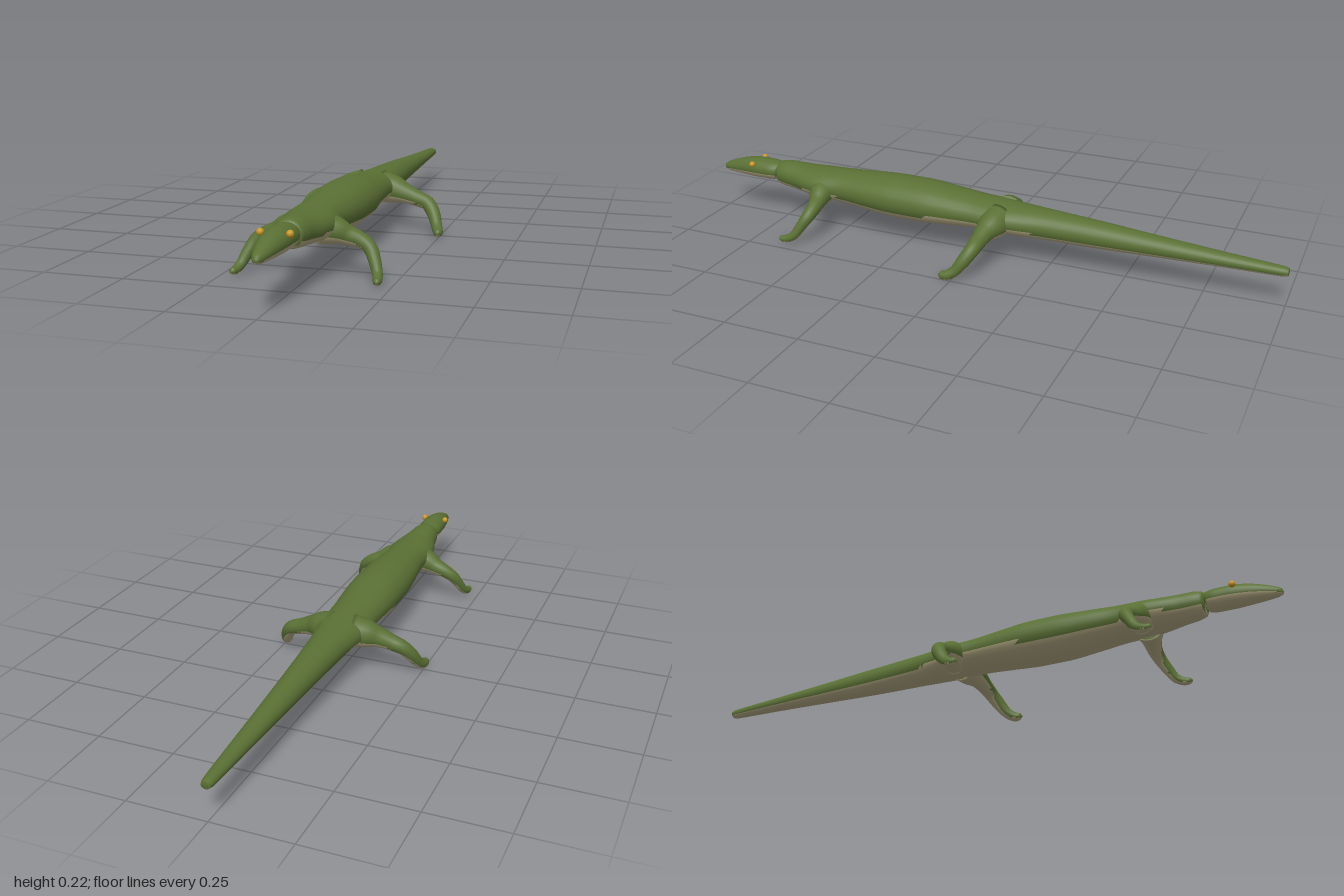
import * as THREE from 'three';

const material = (name, color) => {
  const m = new THREE.MeshStandardMaterial({ color });
  m.name = name;
  return m;
};

// Skin around a spine. Each row is [x, y, z, halfWidth, halfHeight].
// Faces that point downwards use the second material.
function skin(name, rows, steps, sides, materials, belly = -0.42) {
  const spine = new THREE.CatmullRomCurve3(rows.map(r => new THREE.Vector3(r[0], r[1], r[2])));
  const size = new THREE.CatmullRomCurve3(rows.map(r => new THREE.Vector3(r[3], r[4] ?? r[3], 0)));
  const pos = [], faces = [];
  const yAxis = new THREE.Vector3(0, 1, 0);
  for (let i = 0; i <= steps; i++) {
    const t = i / steps;
    const c = spine.getPoint(t), s = size.getPoint(t), dir = spine.getTangent(t);
    const side = yAxis.clone().cross(dir).normalize();
    const up = dir.clone().cross(side);
    for (let j = 0; j < sides; j++) {
      const a = (j / sides) * Math.PI * 2;
      const p = c.clone().addScaledVector(side, Math.cos(a) * s.x).addScaledVector(up, Math.sin(a) * s.y);
      pos.push(p.x, p.y, p.z);
    }
  }
  const at = (i, j) => i * sides + (j % sides);
  const first = pos.length / 3;
  for (const t of [0, 1]) pos.push(...spine.getPoint(t).toArray());
  for (let j = 0; j < sides; j++) {
    for (let i = 0; i < steps; i++) {
      faces.push([at(i, j), at(i, j + 1), at(i + 1, j)], [at(i, j + 1), at(i + 1, j + 1), at(i + 1, j)]);
    }
    faces.push([first, at(0, j + 1), at(0, j)], [first + 1, at(steps, j), at(steps, j + 1)]);
  }

  // Sort faces into back and belly
  const vert = k => new THREE.Vector3().fromArray(pos, k * 3);
  const normal = new THREE.Vector3();
  const isBelly = f => {
    new THREE.Triangle(vert(f[0]), vert(f[1]), vert(f[2])).getNormal(normal);
    return normal.y < belly;
  };
  const parts = [[], []];
  faces.forEach(f => parts[isBelly(f) ? 1 : 0].push(...f));
  const geo = new THREE.BufferGeometry();
  geo.setAttribute('position', new THREE.Float32BufferAttribute(pos, 3));
  geo.setIndex([...parts[0], ...parts[1]]);
  geo.addGroup(0, parts[0].length, 0);
  geo.addGroup(parts[0].length, parts[1].length, 1);
  geo.computeVertexNormals();
  const mesh = new THREE.Mesh(geo, materials);
  mesh.name = name;
  return mesh;
}

export function createModel() {
  const model = new THREE.Group();
  model.name = 'lizard';
  const green = material('olive skin', 0x5a7034);
  const cream = material('pale belly', 0xb0a681);
  const amber = material('amber eye', 0xc8961e);
  const mats = [green, cream];

  // Trunk and tail: [z, top, bottom, halfWidth]
  const trunk = [
    [0.768, 0.195, 0.138, 0.030], [0.76, 0.206, 0.127, 0.042], [0.735, 0.210, 0.120, 0.049],
    [0.69, 0.209, 0.115, 0.056], [0.64, 0.207, 0.110, 0.070], [0.58, 0.208, 0.104, 0.080],
    [0.50, 0.212, 0.098, 0.075], [0.40, 0.217, 0.088, 0.084], [0.30, 0.222, 0.079, 0.091],
    [0.20, 0.221, 0.079, 0.092], [0.10, 0.211, 0.086, 0.087], [0.0, 0.200, 0.092, 0.081],
    [-0.08, 0.194, 0.091, 0.083], [-0.15, 0.190, 0.089, 0.073], [-0.22, 0.187, 0.088, 0.062],
    [-0.40, 0.176, 0.088, 0.049], [-0.60, 0.160, 0.093, 0.038], [-0.80, 0.145, 0.098, 0.028],
    [-0.985, 0.132, 0.101, 0.018], [-1.0, 0.128, 0.104, 0.014],
  ].map(([z, top, low, w]) => [0, (top + low) / 2, z, w, (top - low) / 2]);
  model.add(skin('bodyAndTail', trunk, 95, 28, mats));

  // Head tapering to the snout: [z, top, bottom, halfWidth]
  const head = [
    [0.762, 0.185, 0.150, 0.022], [0.772, 0.201, 0.138, 0.037], [0.80, 0.205, 0.135, 0.043],
    [0.85, 0.206, 0.134, 0.042], [0.90, 0.199, 0.135, 0.036], [0.95, 0.184, 0.137, 0.026],
    [0.985, 0.170, 0.140, 0.016], [0.997, 0.163, 0.145, 0.009], [1.0, 0.157, 0.152, 0.002],
  ].map(([z, top, low, w]) => [0, (top + low) / 2, z, w, (top - low) / 2]);
  model.add(skin('head', head, 40, 24, mats));

  // Legs, flared at the body and curling forward to the foot: [x, y, z, radius]
  const frontLeg = [
    [0.03, 0.145, 0.57, 0.050], [0.075, 0.136, 0.565, 0.039], [0.105, 0.124, 0.56, 0.029],
    [0.14, 0.112, 0.557, 0.024], [0.17, 0.092, 0.563, 0.021], [0.188, 0.062, 0.58, 0.018],
    [0.202, 0.030, 0.602, 0.015], [0.209, 0.018, 0.628, 0.013], [0.211, 0.018, 0.645, 0.010],
    [0.211, 0.018, 0.652, 0.002],
  ];
  const hindLeg = [
    [0.03, 0.142, -0.08, 0.054], [0.08, 0.134, -0.07, 0.046], [0.115, 0.125, -0.062, 0.034],
    [0.155, 0.112, -0.057, 0.027], [0.195, 0.097, -0.052, 0.024], [0.219, 0.068, -0.035, 0.022],
    [0.235, 0.033, -0.01, 0.018], [0.245, 0.018, 0.015, 0.016], [0.247, 0.018, 0.033, 0.012],
    [0.247, 0.018, 0.041, 0.002],
  ];
  for (const [s, label] of [[1, 'left'], [-1, 'right']]) {
    const mirror = rows => rows.map(([x, ...rest]) => [x * s, ...rest]);
    model.add(skin(label + 'FrontLeg', mirror(frontLeg), 36, 18, mats, -0.5));
    model.add(skin(label + 'HindLeg', mirror(hindLeg), 36, 18, mats, -0.5));

    // Eyes
    const eye = new THREE.Mesh(new THREE.SphereGeometry(0.0105, 16, 12), amber);
    eye.name = label + 'Eye';
    eye.position.set(0.041 * s, 0.192, 0.858);
    model.add(eye);
  }
  return model;
}
